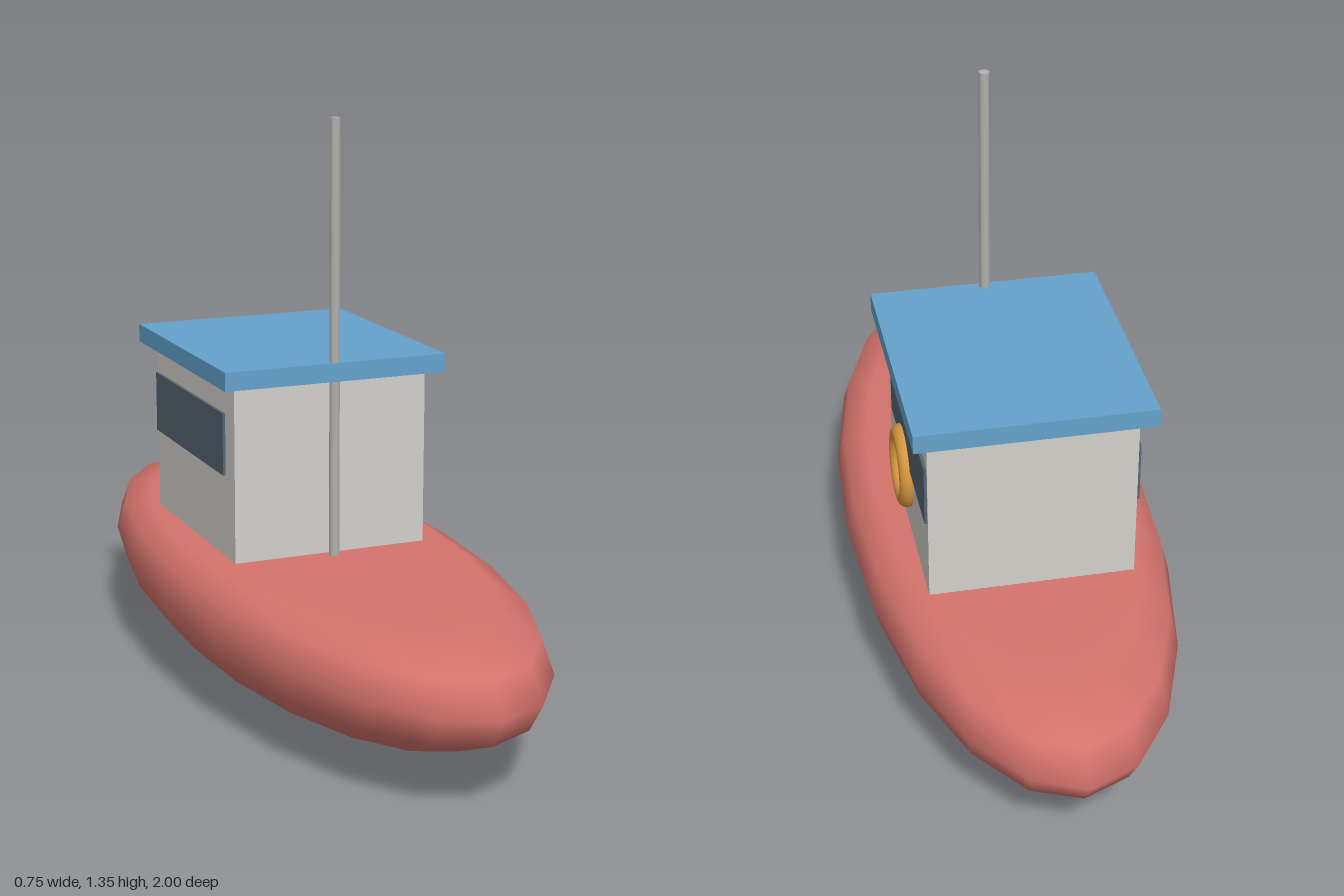
import * as THREE from 'three';
import { mergeVertices } from 'three/addons/utils/BufferGeometryUtils.js';

const material = (name, color) => {
  const m = new THREE.MeshStandardMaterial({ color });
  m.name = name;
  return m;
};

export function createModel() {
  const boat = new THREE.Group();
  boat.name = 'boat';

  const red = material('hull red', 0xd4736c);
  const grey = material('cabin grey', 0xd2d0cb);
  const blue = material('roof blue', 0x64a2cc);
  const slate = material('window slate', 0x566472);
  const orange = material('ring orange', 0xd6973f);
  const metal = material('mast grey', 0xb4b2ae);

  const add = (name, geometry, mat, x, y, z) => {
    const mesh = new THREE.Mesh(geometry, mat);
    mesh.name = name;
    mesh.position.set(x, y, z);
    boat.add(mesh);
    return mesh;
  };

  // Hull: stretched sphere, flattened at deck height
  const deckY = 0.335, midY = 0.235;
  let hull = new THREE.SphereGeometry(1, 20, 10);
  hull.scale(0.375, 0.232, 1);
  const p = hull.attributes.position;
  for (let i = 0; i < p.count; i++) p.setY(i, Math.min(p.getY(i), deckY - midY));
  hull.deleteAttribute('normal');
  hull.deleteAttribute('uv');
  hull = mergeVertices(hull, 1e-4);
  hull.computeVertexNormals();
  add('hull', hull, red, 0, midY, 0);

  // Cabin and overhanging roof
  add('cabin', new THREE.BoxGeometry(0.48, 0.435, 0.545), grey, 0, 0.5375, -0.1475);
  add('roof', new THREE.BoxGeometry(0.55, 0.044, 0.62), blue, 0, 0.776, -0.148);

  // Window bands on both sides
  for (const side of [1, -1]) {
    add(side > 0 ? 'leftWindow' : 'rightWindow',
      new THREE.BoxGeometry(0.009, 0.148, 0.48), slate, side * 0.242, 0.606, -0.175);
  }

  // Life ring on the left wall
  const ring = add('lifeRing', new THREE.TorusGeometry(0.079, 0.021, 12, 32), orange, 0.249, 0.49, -0.12);
  ring.rotation.y = Math.PI / 2;

  // Mast in front of the cabin, passing through the roof
  add('mast', new THREE.CylinderGeometry(0.013, 0.013, 1.03, 8), metal, 0, 0.842, 0.145);

  return boat;
}
